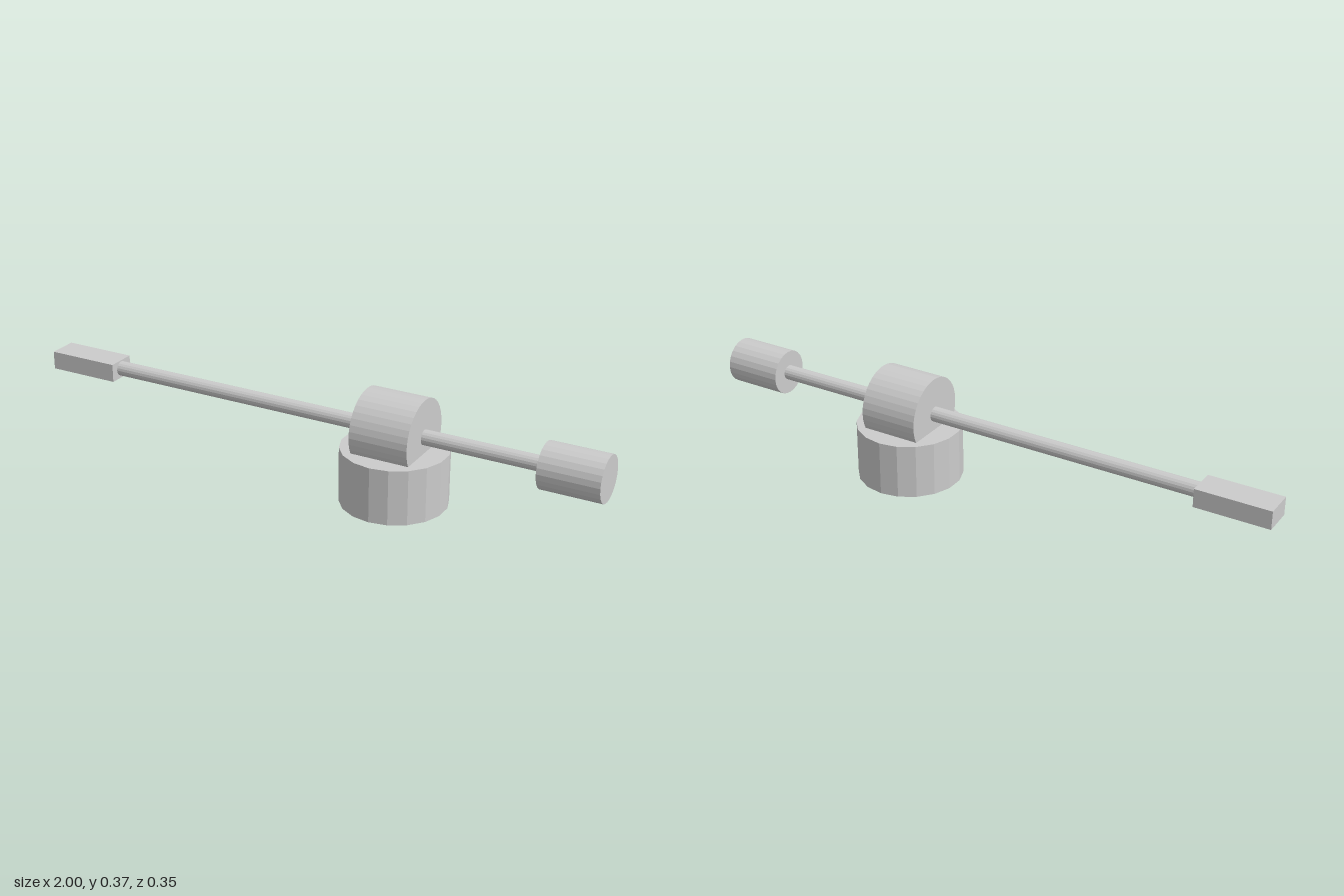
import * as THREE from 'three';

const AXIS_Y = 0.243; // height of the arm's centre line

export function createModel() {
  const model = new THREE.Group();
  const material = new THREE.MeshStandardMaterial({ color: 0xcccccc, flatShading: true });

  function add(name, geometry, x, y) {
    const mesh = new THREE.Mesh(geometry, material);
    mesh.name = name;
    mesh.position.set(x, y, 0);
    model.add(mesh);
  }

  // Cylinder lying along x between two ends
  function addAlongArm(name, radius, x0, x1, sides) {
    const geometry = new THREE.CylinderGeometry(radius, radius, x1 - x0, sides).rotateZ(Math.PI / 2);
    add(name, geometry, (x0 + x1) / 2, AXIS_Y);
  }

  // Upright base and the pivot drum partly sunk into it
  add('base', new THREE.CylinderGeometry(0.177, 0.177, 0.186, 18), 0.3, 0.093);
  addAlongArm('pivotHousing', 0.125, 0.2, 0.4, 36);

  // Arm tube with its counterweight
  addAlongArm('armTube', 0.025, -0.76, 0.81, 18);
  addAlongArm('counterweight', 0.076, 0.8, 1, 24);

  // Head block and tiny needle beneath its tip
  add('headBlock', new THREE.BoxGeometry(0.25, 0.062, 0.1), -0.875, 0.241);
  add('needle', new THREE.CylinderGeometry(0.004, 0.002, 0.03, 8), -0.94, 0.213);

  return model;
}
